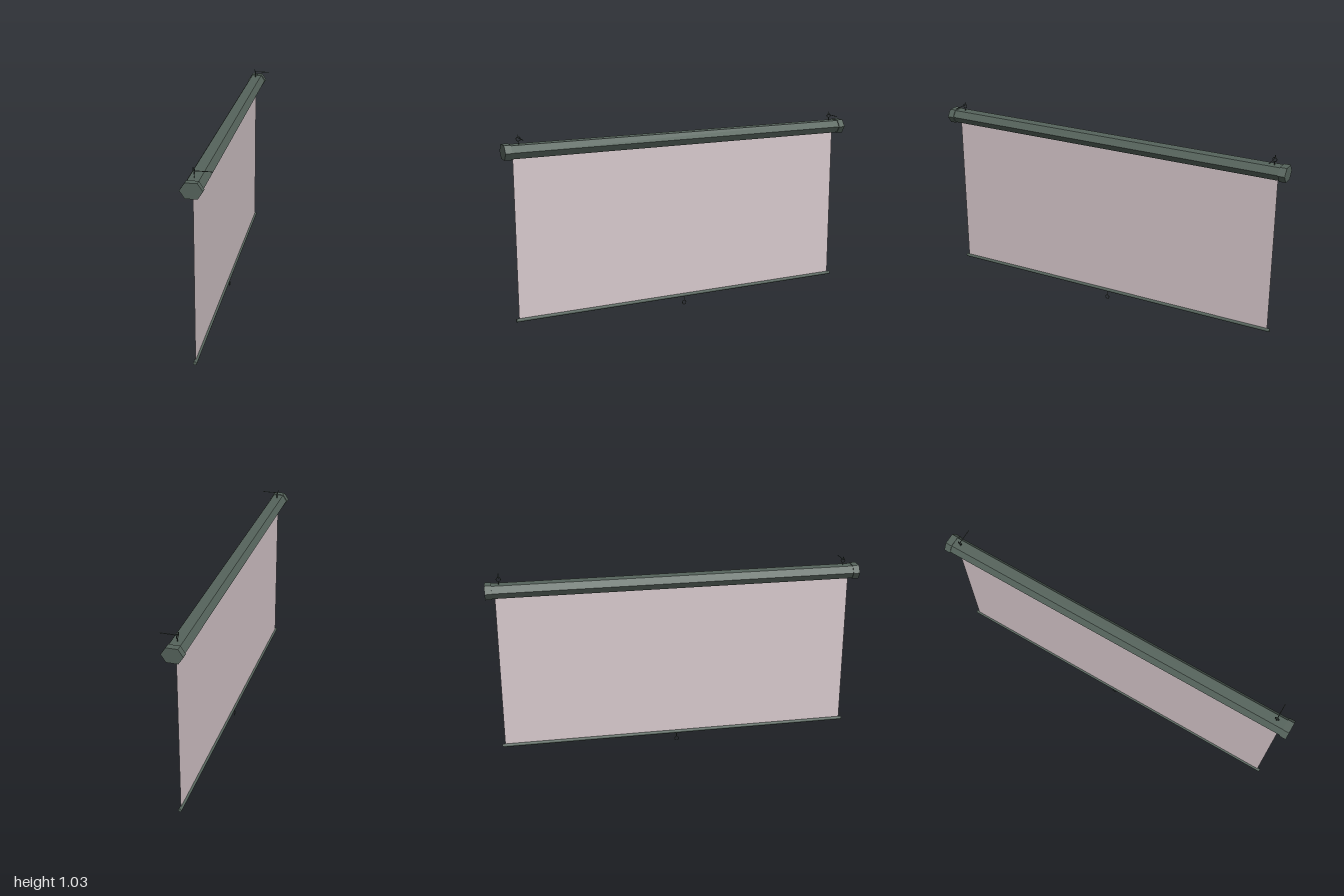
import * as THREE from 'three';

const CX = -0.015, CY = 0.943, SHEET_X = -0.017;

export function createModel() {
  const model = new THREE.Group();
  model.name = 'projectionScreen';
  const green = new THREE.MeshStandardMaterial({ color: 0x56645c });
  const dark = new THREE.MeshStandardMaterial({ color: 0x3e4843 });
  const fabric = new THREE.MeshStandardMaterial({ color: 0xd8c9cd, side: THREE.DoubleSide });

  const add = (name, geometry, material, x, y, z, parent = model) => {
    const mesh = new THREE.Mesh(geometry, material);
    mesh.name = name;
    mesh.position.set(x, y, z);
    parent.add(mesh);
    return mesh;
  };

  // Flattened hexagonal prism running along z
  const hexPrism = (halfWidth, halfFlat, halfHeight, length) => {
    const shape = new THREE.Shape([
      [halfWidth, 0], [halfFlat, halfHeight], [-halfFlat, halfHeight],
      [-halfWidth, 0], [-halfFlat, -halfHeight], [halfFlat, -halfHeight],
    ].map(([x, y]) => new THREE.Vector2(x, y)));
    return new THREE.ExtrudeGeometry(shape, { depth: length, bevelEnabled: false })
      .translate(0, 0, -length / 2);
  };

  // Housing and its slightly larger end caps
  add('housing', hexPrism(0.049, 0.027, 0.034, 1.95), green, CX, CY, 0);
  for (const side of [-1, 1]) {
    add('endCap', hexPrism(0.054, 0.029, 0.0375, 0.035), green, CX, CY, side * 0.9825);
  }

  // Sheet and the round bar along its lower edge
  add('sheet', new THREE.PlaneGeometry(1.9, 0.855).rotateY(Math.PI / 2), fabric, SHEET_X, 0.4875, 0);
  add('bottomBar', new THREE.CylinderGeometry(0.009, 0.009, 1.93, 16).rotateX(Math.PI / 2),
    green, SHEET_X, 0.057, 0);

  // Ring with a short stem, lying in the plane of the sheet
  const eye = (name, ringY, stemFrom, stemTo, z) => {
    const group = new THREE.Group();
    group.name = name;
    model.add(group);
    add('ring', new THREE.TorusGeometry(0.011, 0.002, 8, 20).rotateY(Math.PI / 2),
      dark, SHEET_X, ringY, z, group);
    add('stem', new THREE.CylinderGeometry(0.002, 0.002, stemTo - stemFrom, 8),
      dark, SHEET_X, (stemFrom + stemTo) / 2, z, group);
  };
  eye('pullRing', 0.013, 0.024, 0.05, 0);

  // Wall hooks: a rod through each eye, turned up at the end
  const hookPath = new THREE.CurvePath();
  const points = [[0.066, 1.009], [-0.02, 1.009], [-0.023, 1.012], [-0.023, 1.026]]
    .map(([x, y]) => new THREE.Vector3(x, y, 0));
  for (let i = 0; i < points.length - 1; i++) {
    hookPath.add(new THREE.LineCurve3(points[i], points[i + 1]));
  }
  for (const z of [-0.926, 0.917]) {
    eye('hangingEye', 1.004, 0.97, 0.993, z);
    add('wallHook', new THREE.TubeGeometry(hookPath, 48, 0.002, 8), dark, 0, 0, z);
    for (const [p, turn] of [[points[0], [0, Math.PI / 2, 0]], [points[3], [-Math.PI / 2, 0, 0]]]) {
      add('hookEnd', new THREE.CircleGeometry(0.002, 8), dark, p.x, p.y, z).rotation.set(...turn);
    }
  }
  return model;
}
